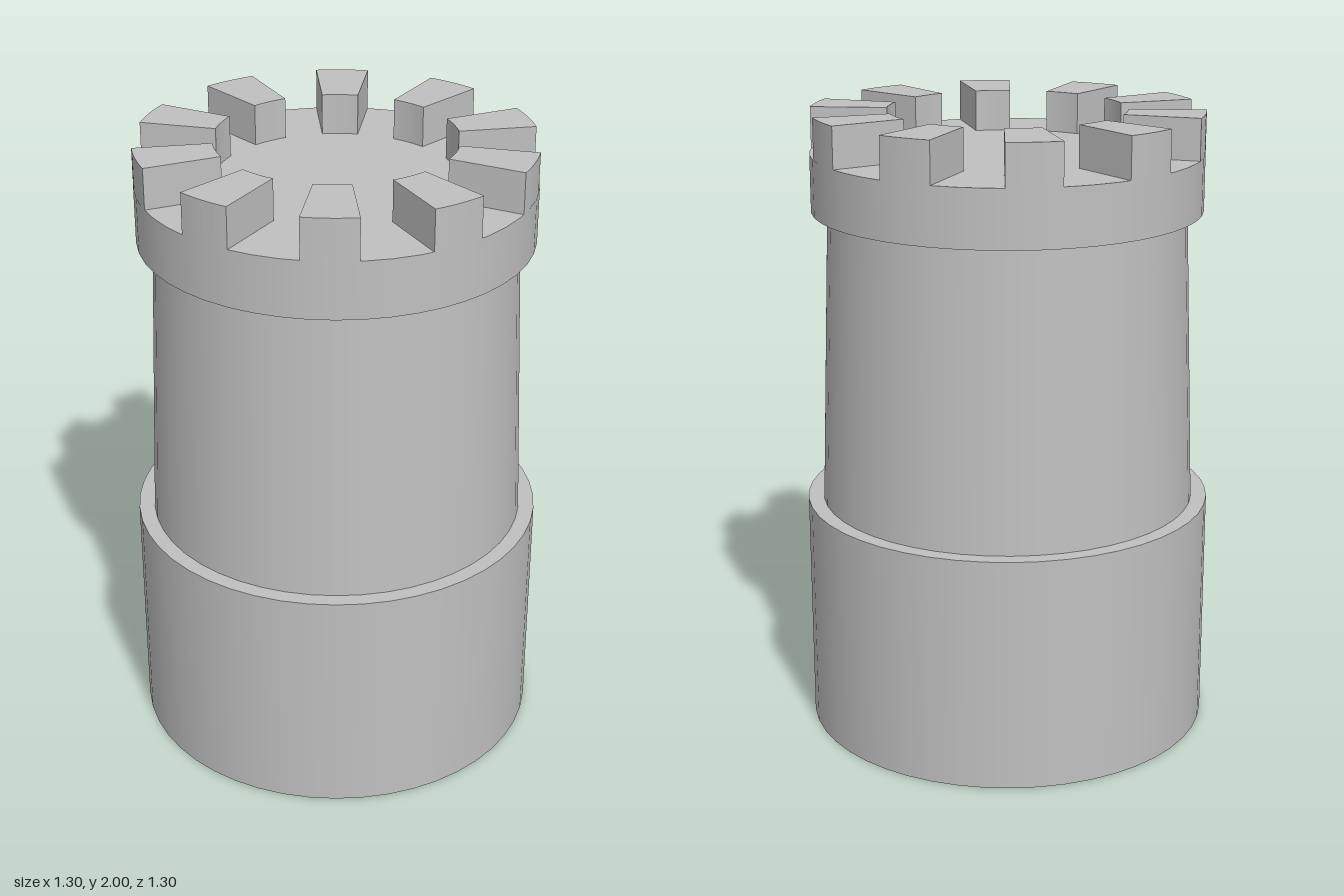
import * as THREE from 'three';

export function createModel() {
  const tower = new THREE.Group();
  tower.name = 'tower';
  const stone = new THREE.MeshStandardMaterial({ color: 0xc0c0c0 });
  stone.name = 'stone grey';

  // A round drum between two heights
  function drum(name, topRadius, bottomRadius, y0, y1) {
    const mesh = new THREE.Mesh(new THREE.CylinderGeometry(topRadius, bottomRadius, y1 - y0, 48), stone);
    mesh.name = name;
    mesh.position.y = (y0 + y1) / 2;
    tower.add(mesh);
  }
  drum('base', 0.65, 0.65, 0, 0.75);
  drum('shaft', 0.565, 0.6, 0.75, 1.69);
  drum('crown', 0.615, 0.615, 1.69, 1.87);

  // Wedge-shaped merlon, centred on the front, with curved inner and outer faces
  const outer = THREE.MathUtils.degToRad(7.9);
  const inner = THREE.MathUtils.degToRad(8.7);
  const mid = -Math.PI / 2;
  const outline = new THREE.Shape();
  outline.absarc(0, 0, 0.615, mid - outer, mid + outer, false);
  outline.absarc(0, 0, 0.374, mid + inner, mid - inner, true);
  outline.closePath();
  const merlonGeometry = new THREE.ExtrudeGeometry(outline, { depth: 0.13, bevelEnabled: false, curveSegments: 4 });
  merlonGeometry.rotateX(-Math.PI / 2);

  // Ten merlons around the rim
  const battlements = new THREE.Group();
  battlements.name = 'battlements';
  for (let i = 0; i < 10; i++) {
    const merlon = new THREE.Mesh(merlonGeometry, stone);
    merlon.name = 'merlon';
    merlon.position.y = 1.87;
    merlon.rotation.y = (i * Math.PI) / 5;
    battlements.add(merlon);
  }
  tower.add(battlements);
  return tower;
}
